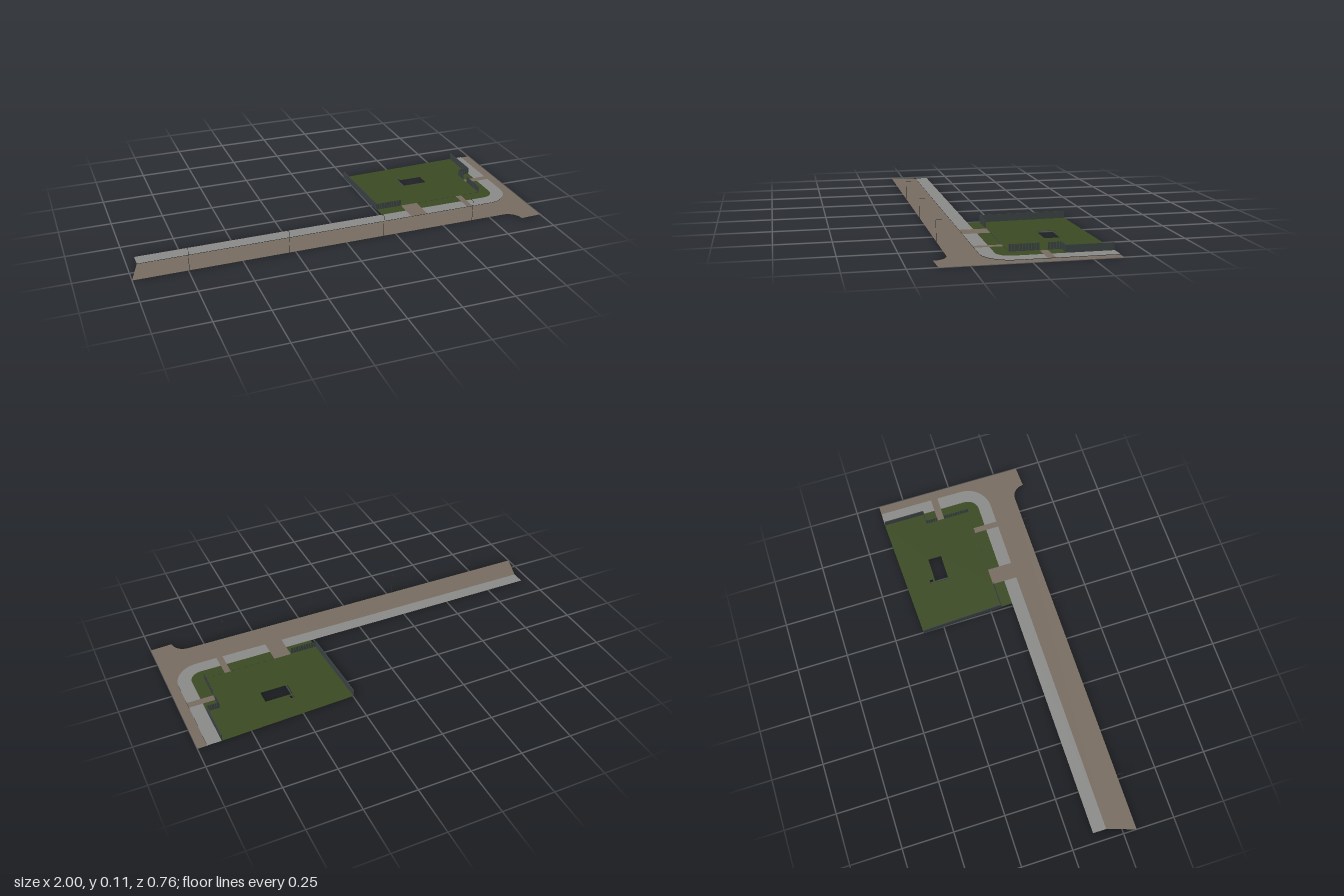
import * as THREE from 'three';

const mat = (name, color) => new THREE.MeshStandardMaterial({ name, color, side: THREE.DoubleSide });

// Points on a circle in plan (x, z), from angle a to angle b in degrees
function arc(cx, cz, r, a, b, steps = 10) {
  return Array.from({ length: steps + 1 }, (_, i) => {
    const t = THREE.MathUtils.degToRad(a + (b - a) * i / steps);
    return [cx + r * Math.cos(t), cz + r * Math.sin(t)];
  });
}

const rect = (x0, x1, z0, z1) => [[x0, z0], [x1, z0], [x1, z1], [x0, z1]];

export function createModel() {
  const group = new THREE.Group();
  const road = mat('roadBrown', 0x786d61);
  const paving = mat('pavingGrey', 0x8b8b8a);
  const grass = mat('grassGreen', 0x3b4a22);
  const fence = mat('fenceSlate', 0x3a4142);
  const metal = mat('lampMetal', 0x303234);

  const add = (name, geometry, material, parent = group) => {
    const mesh = new THREE.Mesh(geometry, material);
    mesh.name = name;
    parent.add(mesh);
    return mesh;
  };

  // Flat ground sheet from a plan outline
  const toPath = (pts, Type) => new Type(pts.map(([x, z]) => new THREE.Vector2(x, -z)));
  const sheet = (name, pts, y, material, holes = []) => {
    const shape = toPath(pts, THREE.Shape);
    shape.holes = holes.map(h => toPath(h, THREE.Path));
    const g = new THREE.ShapeGeometry(shape);
    g.rotateX(-Math.PI / 2).translate(0, y, 0);
    return add(name, g, material);
  };

  const cx = 0.83, cz = 0.055, inner = 0.06, outer = 0.125;

  // Road with rounded corners and a short side stub
  sheet('road', [
    [-1, 0.315], [-0.955, 0.18], ...arc(cx, cz, outer, 90, 0), [0.955, -0.38],
    [1, -0.38], [1, 0.375], ...arc(0.83, 0.38, 0.065, 0, -90),
  ], 0, road);

  // Pavement, interrupted by the driveways
  const h = 0.002;
  sheet('longPavement', rect(-0.955, 0.395, 0.115, 0.18), h, paving);
  sheet('middlePavement', rect(0.48, 0.7, 0.115, 0.18), h, paving);
  sheet('cornerPavement', [
    [0.73, 0.115], ...arc(cx, cz, inner, 90, 0), [0.89, -0.075],
    [0.955, -0.075], ...arc(cx, cz, outer, 0, 90), [0.73, 0.18],
  ], h, paving);
  sheet('sidePavement', rect(0.89, 0.955, -0.38, -0.11), h, paving);

  // Driveways
  sheet('wideDriveway', rect(0.395, 0.48, 0.055, 0.18), h, road);
  sheet('narrowPath', rect(0.7, 0.73, 0.055, 0.18), h, road);
  sheet('sideDriveway', rect(0.83, 0.955, -0.11, -0.075), h, road);

  // Lawn, notched for the driveways, with openings for the house and a post
  sheet('lawn', [
    [0.245, -0.355], [0.89, -0.38], [0.89, -0.11], [0.83, -0.11], [0.83, -0.075],
    [0.89, -0.075], ...arc(cx, cz, inner, 0, 90), [0.73, 0.115], [0.73, 0.055],
    [0.7, 0.055], [0.7, 0.115], [0.48, 0.115], [0.48, 0.055], [0.395, 0.055],
    [0.395, 0.115], [0.265, 0.115],
  ], h, grass, [rect(0.495, 0.628, -0.22, -0.152), rect(0.496, 0.514, -0.248, -0.23)]);

  // Upright box standing between two plan points
  const bar = (name, [x0, z0], [x1, z1], y0, y1, thick, parent) => {
    const m = add(name, new THREE.BoxGeometry(Math.hypot(x1 - x0, z1 - z0), y1 - y0, thick), fence, parent);
    m.position.set((x0 + x1) / 2, (y0 + y1) / 2, (z0 + z1) / 2);
    m.rotation.y = -Math.atan2(z1 - z0, x1 - x0);
  };
  bar('leftWall', [0.247, -0.355], [0.262, 0.057], h, 0.035, 0.004);
  bar('rightWall', [0.888, -0.378], [0.888, -0.17], h, 0.035, 0.004);

  // Slatted fence runs
  const slats = (name, a, b) => {
    const run = new THREE.Group();
    run.name = name;
    group.add(run);
    const n = Math.round(Math.hypot(b[0] - a[0], b[1] - a[1]) / 0.0125);
    const at = t => [a[0] + (b[0] - a[0]) * t, a[1] + (b[1] - a[1]) * t];
    for (let i = 0; i < n; i++) bar('slat', at((i + 0.1) / n), at((i + 0.9) / n), 0.004, 0.035, 0.002, run);
    bar('lowerRail', a, b, 0.004, 0.008, 0.003, run);
  };
  slats('frontFence', [0.262, 0.057], [0.393, 0.057]);
  slats('fenceReturn', [0.83, -0.17], [0.888, -0.17]);
  slats('sideFenceRear', [0.83, -0.17], [0.83, -0.11]);
  slats('sideFenceFront', [0.83, -0.075], [0.83, 0.057]);

  // Low broken edging along the front garden
  for (let x = 0.49; x < 0.82; x += 0.032) {
    if (x < 0.69 || x > 0.735) bar('edging', [x, 0.055], [x + 0.014, 0.055], h, 0.004, 0.003);
  }

  // Street lamps with an arm over the road
  for (let i = 0; i < 4; i++) {
    const lamp = new THREE.Group();
    lamp.name = 'streetLamp';
    lamp.position.set(-0.748 + i * 0.4655, 0, 0.326);
    group.add(lamp);
    add('pole', new THREE.CylinderGeometry(0.0008, 0.0012, 0.11, 6), metal, lamp).position.y = 0.055;
    add('arm', new THREE.BoxGeometry(0.0015, 0.0015, 0.026), metal, lamp).position.set(0, 0.1095, -0.013);
    add('lampHead', new THREE.BoxGeometry(0.004, 0.002, 0.012), metal, lamp).position.set(0, 0.109, -0.02);
  }
  return group;
}
